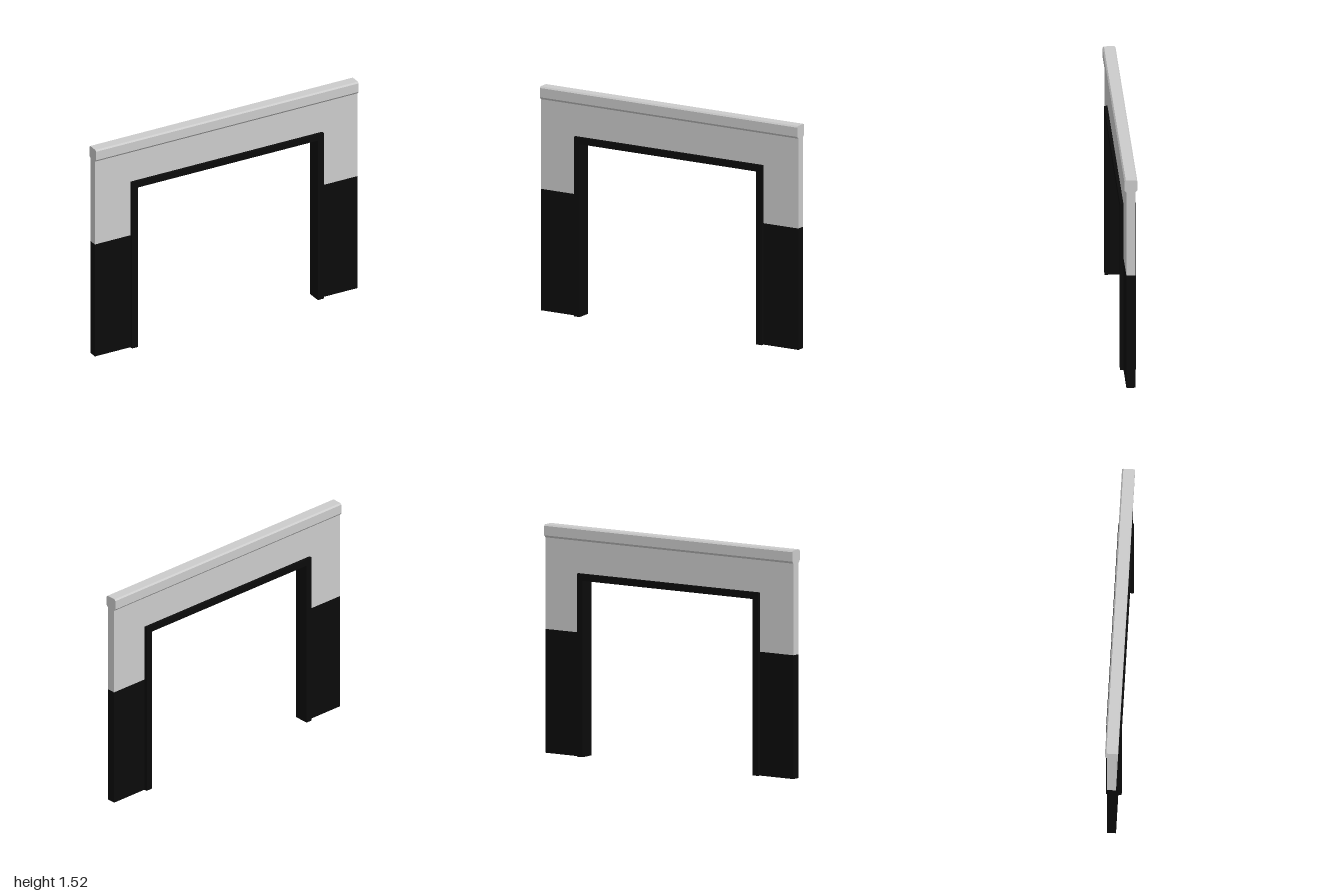
import * as THREE from 'three';

const grey = new THREE.MeshStandardMaterial({ color: 0xcccccc, flatShading: true });
const black = new THREE.MeshStandardMaterial({ color: 0x0b0b0b, flatShading: true });

// Extrudes an outline of [x, y] points, centred on z = 0
function extrude(name, points, depth, material) {
  const shape = new THREE.Shape(points.map(([x, y]) => new THREE.Vector2(x, y)));
  const geometry = new THREE.ExtrudeGeometry(shape, { depth, bevelEnabled: false });
  geometry.translate(0, 0, -depth / 2);
  const mesh = new THREE.Mesh(geometry, material);
  mesh.name = name;
  return mesh;
}

// Outline of an upside-down U: outer and inner half widths, foot, soffit and top heights
function portal(outer, inner, foot, soffit, top) {
  return [
    [-outer, foot], [-inner, foot], [-inner, soffit], [inner, soffit],
    [inner, foot], [outer, foot], [outer, top], [-outer, top],
  ];
}

export function createModel() {
  const group = new THREE.Group();
  group.name = 'wallWithOpening';

  // Upper wall around the opening
  group.add(extrude('upperWall', portal(1, 0.71, 0.825, 1.2, 1.45), 0.06, grey));

  // Dark lower wall on each side
  for (const side of [-1, 1]) {
    const panel = new THREE.Mesh(new THREE.BoxGeometry(0.29, 0.825, 0.06), black);
    panel.name = side > 0 ? 'leftLowerWall' : 'rightLowerWall';
    panel.position.set(side * 0.855, 0.4125, 0);
    group.add(panel);
  }

  // Door frame lining the opening, proud of the wall on both faces
  group.add(extrude('doorFrame', portal(0.73, 0.685, 0, 1.175, 1.22), 0.104, black));

  // Top rail with chamfered edges, its section swept along x
  const half = [[0.03, 1.435], [0.043, 1.45], [0.043, 1.513], [0.034, 1.523]];
  const section = [...half, ...half.map(([z, y]) => [-z, y]).reverse()];
  const rail = extrude('topRail', section, 2, grey);
  rail.rotation.y = Math.PI / 2;
  group.add(rail);

  return group;
}
